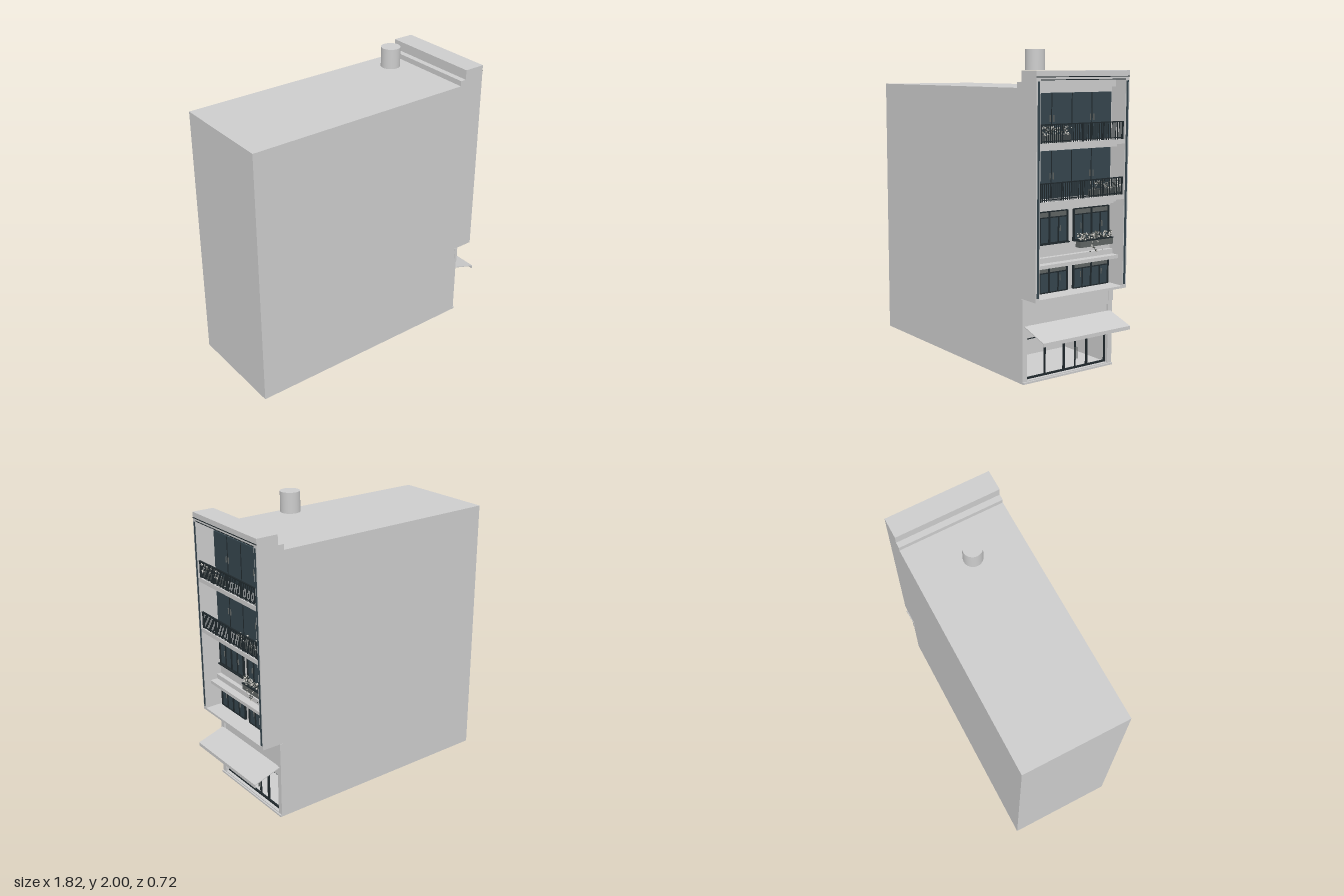
import * as THREE from 'three';

const mat = (name, color, side = THREE.FrontSide) => {
  const m = new THREE.MeshStandardMaterial({ color, side });
  m.name = name;
  return m;
};

export function createModel() {
  const root = new THREE.Group();
  root.name = 'townhouse';
  const plaster = mat('plaster', 0xcccccc);
  const glass = mat('dark glass', 0x35454d);
  const frame = mat('dark metal', 0x1f282c);
  const blind = mat('transom grey', 0x5f6463);
  const leaf = mat('foliage', 0x4c504c);
  const petal = mat('petals', 0xc4c2bc);

  const add = (name, geo, material, parent = root) => {
    const m = new THREE.Mesh(geo, material);
    m.name = name;
    parent.add(m);
    return m;
  };
  // Box given by its limits on each axis
  const box = (name, material, x0, x1, y0, y1, z0, z1, parent = root) => {
    const m = add(name, new THREE.BoxGeometry(x1 - x0, y1 - y0, z1 - z0), material, parent);
    m.position.set((x0 + x1) / 2, (y0 + y1) / 2, (z0 + z1) / 2);
    return m;
  };
  const group = (name) => {
    const g = new THREE.Group();
    g.name = name;
    root.add(g);
    return g;
  };
  let seed = 7;
  const rnd = () => (seed = (seed * 16807) % 2147483647) / 2147483647;

  // Main block with the stepped roof edge and the hollow for the shop
  const profile = new THREE.Shape([
    [-0.91, 0], [0.3, 0], [0.3, 0.4], [0.725, 0.4], [0.725, 1.87], [0.705, 1.87],
    [0.705, 1.805], [0.665, 1.805], [0.665, 1.77], [-0.91, 1.77],
  ].map(([x, y]) => new THREE.Vector2(x, y)));
  const body = new THREE.ExtrudeGeometry(profile, { depth: 0.71, bevelEnabled: false });
  body.translate(0, 0, -0.355);
  add('mainBlock', body, plaster);

  // Projecting facade frame: side fins, cornice and lower slab
  for (const s of [-1, 1]) {
    const span = (a, b) => [Math.min(s * a, s * b), Math.max(s * a, s * b)];
    box('sideFin', plaster, 0.725, 0.85, 0.525, 1.87, ...span(0.325, 0.355));
    box('finStrip', glass, 0.847, 0.852, 0.55, 1.81, ...span(0.331, 0.346));
    box('shopSideWall', plaster, 0.3, 0.725, 0, 0.4, ...span(0.32, 0.355));
    box('cornerBracket', plaster, 0.705, 0.728, 0.42, 0.525, ...span(0.325, 0.358));
  }
  box('cornice', plaster, 0.725, 0.85, 1.82, 1.87, -0.325, 0.325);
  box('corniceLine', frame, 0.848, 0.852, 1.832, 1.837, -0.355, 0.355);
  box('corniceLine', frame, 0.846, 0.851, 1.815, 1.82, -0.325, 0.325);
  box('ceilingBeam', plaster, 0.725, 0.76, 1.77, 1.82, -0.325, 0.325);
  box('lowerSlab', plaster, 0.725, 0.85, 0.525, 0.54, -0.325, 0.325);

  // Rooftop water tank
  const tank = add('waterTank', new THREE.CylinderGeometry(0.062, 0.062, 0.13, 32), plaster);
  tank.position.set(0.37, 1.935, 0);

  // Flowers scattered over a planter
  const flowers = (parent, x, y0, y1, z0, z1, count) => {
    for (let i = 0; i < count; i++) {
      const isPetal = i % 2 === 0;
      const r = 0.003 + rnd() * 0.004;
      const m = add(isPetal ? 'flower' : 'leaves', new THREE.IcosahedronGeometry(r, 0), isPetal ? petal : leaf, parent);
      m.position.set(x + (rnd() - 0.5) * 0.035, y0 + rnd() * (y1 - y0), z0 + rnd() * (z1 - z0));
    }
  };

  // Two balcony floors: glazing, slab, railing and planter
  for (const [y, zA, zB] of [[1.455, 0.085, 0.305], [1.114, -0.305, -0.085]]) {
    const g = group('balcony');
    box('balconySlab', plaster, 0.725, 0.85, y - 0.028, y, -0.325, 0.325, g);
    box('slabBeam', plaster, 0.725, 0.78, y - 0.05, y - 0.028, -0.325, 0.325, g);
    box('glazing', glass, 0.725, 0.735, y, y + 0.285, -0.312, 0.312, g);
    for (const z of [-0.155, 0, 0.155])
      box('glazingMullion', frame, 0.734, 0.738, y, y + 0.285, z - 0.0025, z + 0.0025, g);
    for (const z of [-0.168, -0.142, 0.142, 0.168])
      box('doorHandle', blind, 0.736, 0.743, y + 0.115, y + 0.155, z - 0.0015, z + 0.0015, g);
    box('topRail', frame, 0.834, 0.846, y + 0.104, y + 0.11, -0.32, 0.32, g);
    box('bottomRail', frame, 0.837, 0.843, y + 0.008, y + 0.013, -0.32, 0.32, g);
    for (let i = 0; i <= 44; i++) {
      const z = -0.315 + i * 0.63 / 44;
      const w = i % 11 === 0 ? 0.004 : 0.002;
      box('baluster', frame, 0.84 - w, 0.84 + w, y, y + 0.105, z - w, z + w, g);
    }
    box('planter', blind, 0.795, 0.832, y, y + 0.045, zA, zB, g);
    flowers(g, 0.825, y + 0.045, y + 0.095, zA, zB, 130);
  }

  // Framed windows on the two lower floors
  const windowUnit = (y0, y1, z0, z1) => {
    const g = group('window');
    const split = y1 - 0.035;
    box('windowPane', glass, 0.725, 0.731, y0, split, z0, z1, g);
    box('transom', blind, 0.725, 0.731, split, y1, z0, z1, g);
    for (let i = 0; i <= 4; i++) {
      const z = z0 + (z1 - z0) * i / 4;
      const w = i % 2 ? 0.003 : 0.005;
      box('windowPost', frame, 0.726, 0.738, y0, i % 2 ? split : y1, z - w, z + w, g);
    }
    for (const y of [y0, split, y1])
      box('windowRail', frame, 0.726, 0.738, y - 0.003, y + 0.003, z0, z1, g);
    for (const f of [0.2, 0.8]) {
      const z = z0 + (z1 - z0) * f;
      box('windowHandle', blind, 0.731, 0.74, y0 + 0.065, y0 + 0.1, z - 0.0015, z + 0.0015, g);
    }
  };
  for (const [z0, z1] of [[0.025, 0.305], [-0.305, -0.025]]) {
    windowUnit(0.845, 1.035, z0, z1);
    windowUnit(0.543, 0.698, z0, z1);
    box('windowSill', frame, 0.725, 0.75, 0.838, 0.845, z0 - 0.007, z1 + 0.007);
  }

  // Ledges between the lower floors
  box('ledge', plaster, 0.725, 0.805, 0.708, 0.73, -0.325, 0.325);
  box('ledgeMoulding', plaster, 0.725, 0.755, 0.73, 0.762, -0.325, 0.325);
  box('upperMoulding', plaster, 0.725, 0.755, 1.05, 1.066, -0.325, 0.325);

  // Hanging flower box
  const fb = group('flowerBox');
  box('flowerTrough', blind, 0.742, 0.785, 0.8, 0.842, -0.3, -0.035, fb);
  box('troughRim', frame, 0.74, 0.788, 0.838, 0.844, -0.302, -0.033, fb);
  flowers(fb, 0.765, 0.844, 0.885, -0.3, -0.035, 150);
  flowers(fb, 0.785, 0.77, 0.84, -0.24, -0.1, 24);

  // Shop floor, header and open storefront
  box('shopFloor', plaster, 0.3, 0.725, 0, 0.018, -0.32, 0.32);
  box('doorStep', plaster, 0.725, 0.735, 0, 0.012, -0.355, 0.355);
  box('shopHeader', plaster, 0.66, 0.71, 0.275, 0.4, -0.32, 0.32);
  const shop = group('storefront');
  for (const [z, w] of [[0.317, 0.003], [0.165, 0.003], [0.015, 0.005], [-0.075, 0.002], [-0.168, 0.005], [-0.317, 0.003]])
    box('shopPost', frame, 0.69, 0.704, 0.018, 0.275, z - w, z + w, shop);
  box('shopBottomRail', frame, 0.69, 0.704, 0.018, 0.028, -0.32, 0.32, shop);
  box('shopTopRail', frame, 0.69, 0.704, 0.266, 0.275, -0.32, 0.32, shop);
  for (const z of [-0.067, -0.083])
    box('shopHandle', blind, 0.704, 0.712, 0.08, 0.155, z - 0.002, z + 0.002, shop);

  // Sloping awning with a short valance
  const slope = new THREE.Shape([
    [0.722, 0.35], [0.905, 0.291], [0.905, 0.272], [0.91, 0.272], [0.91, 0.295], [0.722, 0.356],
  ].map(([x, y]) => new THREE.Vector2(x, y)));
  const awning = new THREE.ExtrudeGeometry(slope, { depth: 0.68, bevelEnabled: false });
  awning.translate(0, 0, -0.34);
  add('awning', awning, plaster);

  return root;
}
